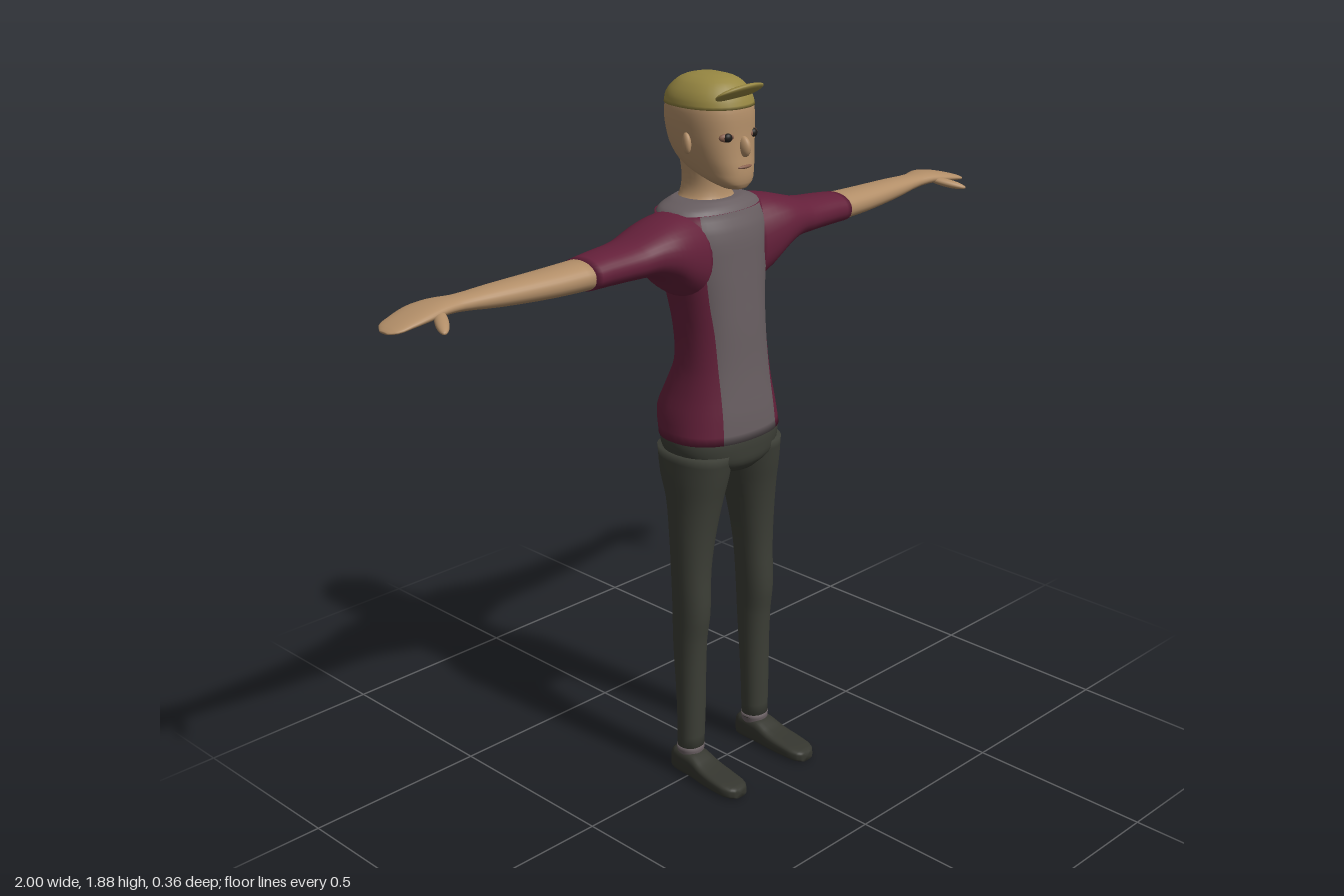
import * as THREE from 'three';

const mat = (name, color) => Object.assign(new THREE.MeshStandardMaterial({ color }), { name });

// Superellipse loft up +y. Rows: [y, cx, cz, rx, rz, panelHalfWidth?].
// With a panel width, group 0 is the front panel and group 1 the rest.
function loft(rows, { p = 2.2, n = 32, steps = 3, cap = true, panel = false } = {}) {
  const size = rows[0].length - 1;
  const spline = new THREE.CubicInterpolant(
    new Float32Array(rows.map(r => r[0])), new Float32Array(rows.flatMap(r => r.slice(1))), size);
  const levels = [];
  rows.forEach((r, i) => {
    if (i) for (let s = 1; s < steps; s++) levels.push(THREE.MathUtils.lerp(rows[i - 1][0], r[0], s / steps));
    levels.push(r[0]);
  });
  const k = 12, pos = [], front = [], rest = [];
  const power = v => Math.sign(v) * Math.abs(v) ** (2 / p);
  levels.forEach(y => {
    const row = rows.find(r => r[0] === y);
    const [cx, cz, rx, rz, w] = row ? row.slice(1) : Array.from(spline.evaluate(y));
    const a = panel ? Math.asin(Math.min(0.98, (w / rx) ** (p / 2))) : 0;
    for (let j = 0; j < n; j++) {
      let t = j / n * Math.PI * 2;
      if (panel) t = j <= k ? -a + 2 * a * j / k : a + (2 * Math.PI - 2 * a) * (j - k) / (n - k);
      pos.push(cx + rx * power(Math.sin(t)), y, cz + rz * power(Math.cos(t)));
    }
  });
  const last = levels.length - 1;
  for (let i = 0; i < last; i++) for (let j = 0; j < n; j++) {
    const a = i * n + j, b = i * n + (j + 1) % n;
    (panel && j < k ? front : rest).push(a, b, a + n, b, b + n, a + n);
  }
  if (cap) {
    const c = pos.length / 3, lo = rows[0], hi = rows[rows.length - 1];
    pos.push(lo[1], lo[0], lo[2], hi[1], hi[0], hi[2]);
    for (let j = 0; j < n; j++) {
      const m = (j + 1) % n;
      rest.push(c, m, j, c + 1, last * n + j, last * n + m);
    }
  }
  const g = new THREE.BufferGeometry();
  g.setAttribute('position', new THREE.Float32BufferAttribute(pos, 3));
  g.setIndex([...front, ...rest]);
  if (panel) {
    g.addGroup(0, front.length, 0);
    g.addGroup(front.length, rest.length, 1);
  }
  g.computeVertexNormals();
  return g;
}

// Loft along +x from rows [x, y, z, ry, rz]
const loftX = (rows, o) => loft(rows.map(([x, y, z, ry, rz]) => [x, -y, z, ry, rz]), o).rotateZ(-Math.PI / 2);
// Loft along +z from rows [z, x, y, rx, ry]
const loftZ = (rows, o) => loft(rows.map(([z, x, y, rx, ry]) => [z, x, -y, rx, ry]), o).rotateX(Math.PI / 2);

function ball(x, y, z, rx, ry, rz, tiltX = 0, turnY = 0) {
  return new THREE.SphereGeometry(1, 20, 14).scale(rx, ry, rz).rotateX(tiltX).rotateY(turnY).translate(x, y, z);
}

function mirrored(geometry) {
  const g = geometry.clone().scale(-1, 1, 1), ix = g.index.array;
  for (let i = 0; i < ix.length; i += 3) [ix[i], ix[i + 1]] = [ix[i + 1], ix[i]];
  return g;
}

export function createModel() {
  const model = new THREE.Group();
  model.name = 'standingMan';
  const skin = mat('skin', 0xb28e68), hair = mat('hair', 0x978742), maroon = mat('maroonShirt', 0x64203a);
  const grey = mat('greyShirt', 0x675d60), trousers = mat('trousers', 0x3c3e36), shoe = mat('shoe', 0x35362f);
  const dark = mat('eyeDark', 0x1d1a18), lip = mat('lip', 0x875f4c);

  const add = (name, geometry, material) => {
    const mesh = new THREE.Mesh(geometry, material);
    mesh.name = name;
    model.add(mesh);
  };
  const pair = (name, geometry, material) => {
    add(name + 'Left', geometry, material);
    add(name + 'Right', mirrored(geometry), material);
  };

  // Shirt with a grey front panel and grey yoke around the neck
  add('shirt', loft([
    [0.965, 0, -0.029, 0.167, 0.128, 0.095], [1.03, 0, -0.039, 0.157, 0.134, 0.092],
    [1.09, 0, -0.031, 0.141, 0.119, 0.09], [1.16, 0, -0.021, 0.126, 0.102, 0.09],
    [1.25, 0, -0.028, 0.122, 0.103, 0.092], [1.33, 0, -0.04, 0.13, 0.108, 0.1],
    [1.42, 0, -0.05, 0.147, 0.11, 0.108], [1.5, 0, -0.058, 0.155, 0.109, 0.11],
    [1.545, 0, -0.067, 0.15, 0.099, 0.105],
  ], { panel: true, n: 44, p: 2.3 }), [grey, maroon]);
  add('collar', loft([
    [1.54, 0, -0.066, 0.152, 0.1], [1.557, 0, -0.068, 0.135, 0.09], [1.572, 0, -0.072, 0.085, 0.072],
  ]), grey);

  // Arms
  pair('sleeve', loftX([
    [0.08, 1.432, -0.058, 0.12, 0.098], [0.15, 1.452, -0.056, 0.1, 0.104], [0.2, 1.468, -0.051, 0.075, 0.099],
    [0.25, 1.473, -0.047, 0.056, 0.087], [0.3, 1.468, -0.045, 0.047, 0.076],
    [0.4, 1.465, -0.042, 0.041, 0.065], [0.45, 1.463, -0.04, 0.038, 0.061],
  ]), maroon);
  pair('forearmAndHand', loftX([
    [0.43, 1.463, -0.04, 0.036, 0.058], [0.55, 1.462, -0.045, 0.033, 0.052], [0.7, 1.464, -0.055, 0.026, 0.042],
    [0.8, 1.467, -0.062, 0.018, 0.035], [0.85, 1.468, -0.068, 0.017, 0.045], [0.9, 1.463, -0.07, 0.015, 0.052],
    [0.95, 1.455, -0.066, 0.011, 0.046], [0.985, 1.448, -0.063, 0.007, 0.036], [1, 1.445, -0.06, 0.003, 0.016],
  ]), skin);
  pair('thumb', ball(0.885, 1.455, -0.005, 0.016, 0.011, 0.055, 0.2, 0.55), skin);

  // Hips and legs
  add('hips', loft([
    [0.875, 0, -0.015, 0.075, 0.085], [0.9, 0, -0.022, 0.135, 0.112],
    [0.93, 0, -0.026, 0.16, 0.121], [0.97, 0, -0.03, 0.163, 0.125], [1, 0, -0.034, 0.15, 0.12],
  ], { p: 2.3 }), trousers);
  pair('trouserLeg', loft([
    [0.075, 0.125, -0.015, 0.036, 0.034], [0.2, 0.123, -0.014, 0.038, 0.037], [0.4, 0.122, -0.018, 0.04, 0.048],
    [0.48, 0.12, -0.014, 0.043, 0.054], [0.6, 0.117, -0.017, 0.048, 0.055], [0.7, 0.11, -0.018, 0.056, 0.063],
    [0.8, 0.1, -0.02, 0.065, 0.08], [0.86, 0.094, -0.026, 0.072, 0.099], [0.93, 0.088, -0.028, 0.075, 0.113],
  ]), trousers);
  pair('sock', loft([[0.05, 0.126, -0.016, 0.034, 0.034], [0.085, 0.125, -0.015, 0.037, 0.036]]), grey);
  pair('shoe', loftZ([
    [-0.06, 0.126, 0.033, 0.03, 0.033], [-0.045, 0.127, 0.036, 0.036, 0.036], [0.015, 0.128, 0.035, 0.038, 0.035],
    [0.06, 0.13, 0.026, 0.041, 0.026], [0.12, 0.132, 0.02, 0.041, 0.02],
    [0.165, 0.132, 0.016, 0.034, 0.016], [0.18, 0.131, 0.014, 0.02, 0.013],
  ], { p: 3.5 }), shoe);

  // Neck and head
  add('neck', loft([
    [1.555, 0, -0.072, 0.085, 0.072], [1.58, 0, -0.074, 0.063, 0.064],
    [1.62, 0, -0.073, 0.055, 0.062], [1.68, 0, -0.075, 0.06, 0.07],
  ]), skin);
  add('head', loft([
    [1.606, 0, 0.025, 0.028, 0.03], [1.62, 0, 0.012, 0.05, 0.05], [1.65, 0, -0.026, 0.068, 0.09],
    [1.69, 0, -0.048, 0.083, 0.107], [1.74, 0, -0.058, 0.093, 0.113], [1.79, 0, -0.061, 0.095, 0.114],
    [1.82, 0, -0.061, 0.088, 0.107],
  ], { p: 2.4 }), skin);
  pair('ear', ball(0.097, 1.718, -0.042, 0.01, 0.026, 0.015, -0.15, 0.3), skin);
  add('nose', ball(0, 1.71, 0.057, 0.013, 0.026, 0.02, -0.2), skin);
  pair('eyelid', ball(0.045, 1.736, 0.042, 0.021, 0.011, 0.009, 0, 0.3), lip);
  pair('eye', ball(0.045, 1.736, 0.046, 0.012, 0.011, 0.009, 0, 0.3), dark);
  add('mouth', ball(0, 1.661, 0.06, 0.024, 0.005, 0.007), lip);

  // Hair cap with a swept-up fringe
  add('hair', loft([
    [1.802, 0, -0.061, 0.098, 0.118], [1.825, 0, -0.062, 0.093, 0.112], [1.85, 0, -0.06, 0.076, 0.094],
    [1.868, 0, -0.058, 0.05, 0.066], [1.876, 0, -0.057, 0.022, 0.032],
  ]), hair);
  add('fringe', ball(0, 1.842, 0.047, 0.076, 0.011, 0.041, -0.55).rotateZ(0.03).translate(0.05, 0, 0), hair);
  return model;
}
